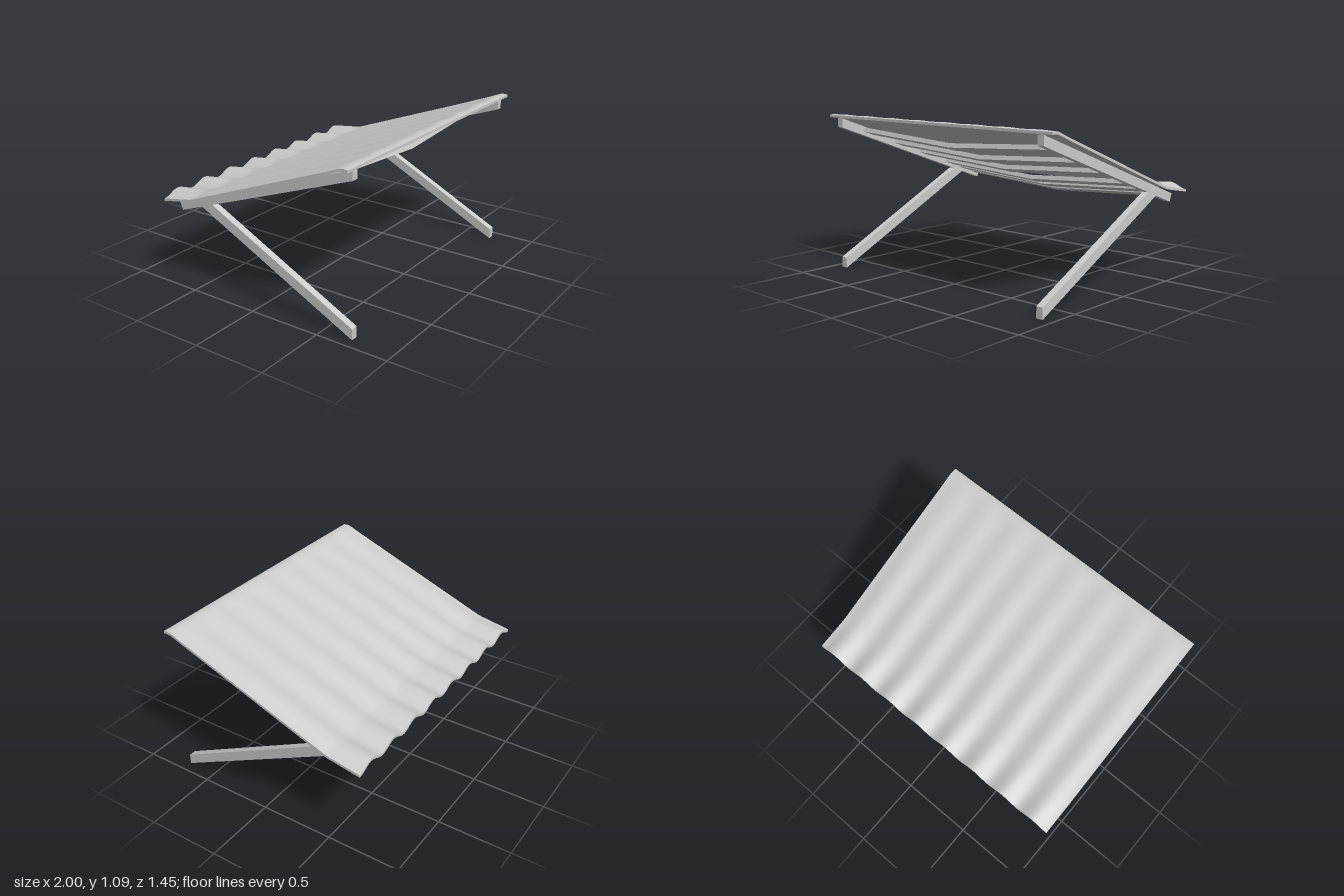
import * as THREE from 'three';

const material = new THREE.MeshStandardMaterial({ color: 0xcccccc });
const SLOPE = 0.361; // pitch of the rafters
const ANGLE = Math.atan(SLOPE);

function addMesh(parent, geometry, name) {
  const mesh = new THREE.Mesh(geometry, material);
  mesh.name = name;
  parent.add(mesh);
  return mesh;
}

// Extrudes an outline of [z, y] points along x, centred on x = 0
function sideProfile(points, width) {
  const shape = new THREE.Shape(points.map(([z, y]) => new THREE.Vector2(z, y)));
  return new THREE.ExtrudeGeometry(shape, { depth: width, bevelEnabled: false })
    .rotateY(-Math.PI / 2)
    .translate(width / 2, 0, 0);
}

// Piecewise linear lookup in a list of [z, value] pairs with rising z
function lookup(table, z) {
  let i = 1;
  while (i < table.length - 1 && z > table[i][0]) i++;
  const [z0, v0] = table[i - 1];
  const [z1, v1] = table[i];
  return v0 + (v1 - v0) * (z - z0) / (z1 - z0);
}

// Thin roof sheet: kinked along z, corrugated across x with waves that grow to the back
function roofSheet() {
  const thickness = 0.017;
  const crest = [[-0.725, 0.638], [-0.4875, 0.665], [0.6375, 1.077], [0.6875, 1.092], [0.725, 1.085]];
  const wave = [[-0.725, 0.02], [-0.4875, 0.012], [0.6, 0.004], [0.725, 0]];
  const geometry = new THREE.BoxGeometry(2, thickness, 1.45, 96, 1, 58);
  const p = geometry.attributes.position;
  for (let i = 0; i < p.count; i++) {
    const x = p.getX(i), z = p.getZ(i);
    const ripple = -Math.cos((x + 1) * Math.PI * 8) - 1;
    p.setY(i, p.getY(i) - thickness / 2 + lookup(crest, z) + lookup(wave, z) * ripple);
  }
  geometry.computeVertexNormals();
  return geometry;
}

// Cross beam that dips in the middle; its tilt follows the rafters
function purlinGeometry() {
  const half = 0.88, sag = 0.052, thick = 0.03;
  const shape = new THREE.Shape([
    new THREE.Vector2(0, 0),
    new THREE.Vector2(half, sag),
    new THREE.Vector2(half, sag + thick),
    new THREE.Vector2(0, thick),
    new THREE.Vector2(-half, sag + thick),
    new THREE.Vector2(-half, sag),
  ]);
  return new THREE.ExtrudeGeometry(shape, { depth: 0.085, bevelEnabled: false }).rotateX(-ANGLE);
}

export function createModel() {
  const model = new THREE.Group();
  model.name = 'awning';

  addMesh(model, roofSheet(), 'roofSheet');

  // Rafters and the diagonal struts under them
  const rafter = sideProfile([[0.71, 1.0], [0.71, 1.064], [-0.657, 0.57], [-0.635, 0.515]], 0.048);
  const strut = sideProfile([[0.71, 0], [0.71, 0.073], [-0.37, 0.611], [-0.46, 0.578]], 0.048);
  for (const [side, x] of [['left', 0.905], ['right', -0.905]]) {
    addMesh(model, rafter, side + 'Rafter').position.x = x;
    addMesh(model, strut, side + 'Strut').position.x = x;
  }

  // Purlins, closer together towards the low edge
  const purlin = purlinGeometry();
  const purlins = new THREE.Group();
  purlins.name = 'purlins';
  [0.46, 0.18, -0.068, -0.34, -0.485, -0.6].forEach((z, i) => {
    const y = 1.0 + SLOPE * (z - 0.71) - 0.028;
    addMesh(purlins, purlin, 'purlin' + (i + 1)).position.set(0, y, z);
  });
  model.add(purlins);

  return model;
}
